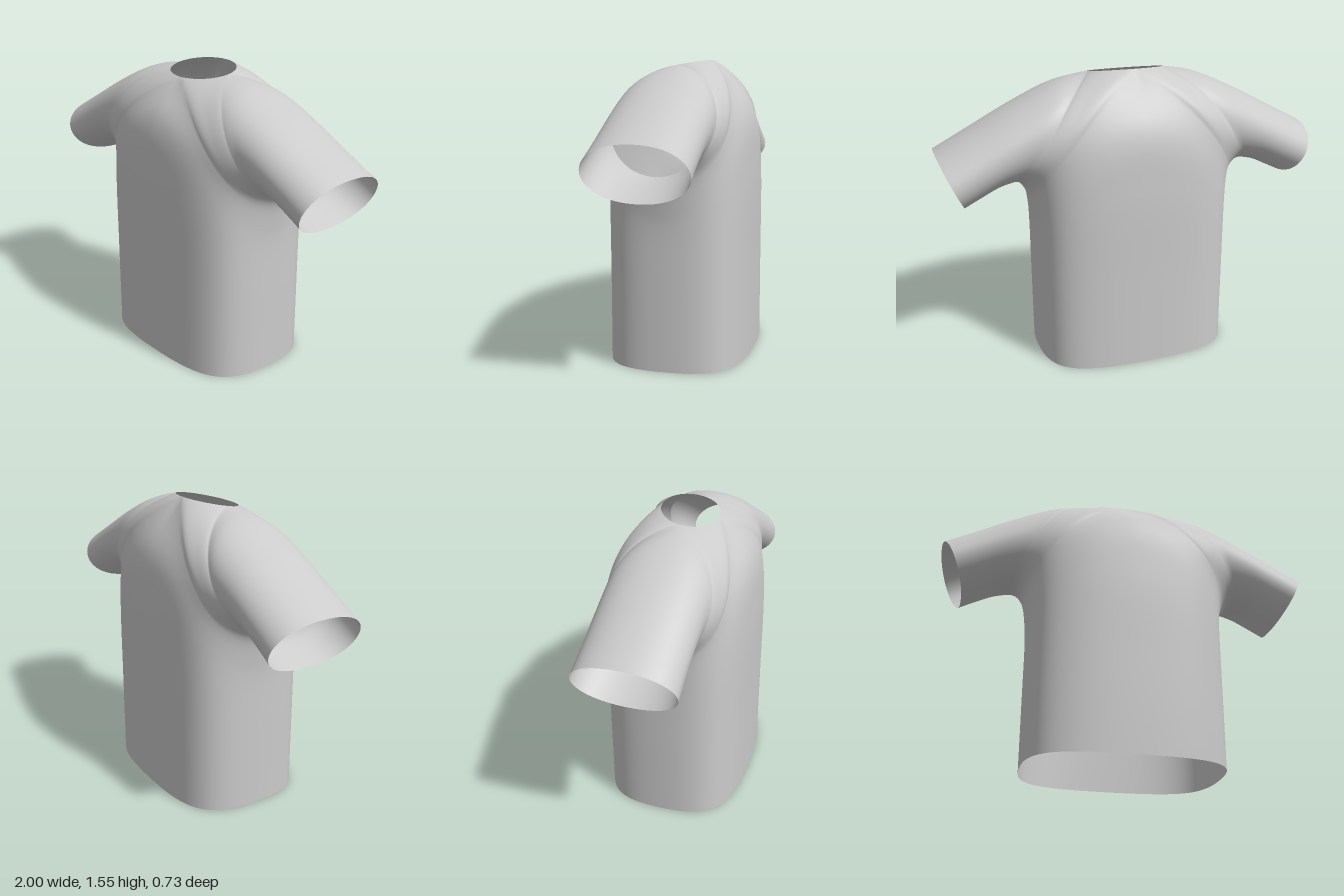
import * as THREE from 'three';
import { mergeVertices } from 'three/addons/utils/BufferGeometryUtils.js';

// Spline through the given points, evaluated by station number.
const rail = (pts, first = 0) => {
  const curve = new THREE.CatmullRomCurve3(pts.map(p => new THREE.Vector3(...p)), false, 'catmullrom', 0.5);
  return u => curve.getPoint((u - first) / (pts.length - 1));
};

// Side seam: hem, up to the armpit, out under the sleeve to the cuff.
const seam = rail([
  [0.52, 0, 0], [0.52, 0.4, 0], [0.52, 0.68, 0], [0.527, 0.8, 0], [0.545, 0.91, 0], [0.575, 0.965, 0],
  [0.61, 0.988, 0], [0.645, 0.992, 0], [0.72, 0.975, 0], [0.8, 0.937, 0], [0.875, 0.9, 0],
]);
// Two rails that give the cloth its fullness between the seam and the upper edge.
const lowerFullness = rail([
  [0.52, 0, 0.296], [0.52, 0.42, 0.296], [0.52, 0.71, 0.296], [0.53, 0.86, 0.31], [0.545, 0.97, 0.345], [0.572, 1.02, 0.36],
  [0.608, 1.02, 0.36], [0.645, 1.0, 0.345], [0.72, 0.975, 0.336], [0.8, 0.937, 0.335], [0.875, 0.9, 0.34],
]);
const upperFullness = rail([
  [0.42, 0, 0.365], [0.42, 0.5, 0.365], [0.42, 0.93, 0.365], [0.39, 1.19, 0.36], [0.33, 1.33, 0.385], [0.365, 1.38, 0.355],
  [0.4, 1.46, 0.335], [0.43, 1.465, 0.338], [0.6, 1.385, 0.336], [0.81, 1.275, 0.335], [1, 1.175, 0.34],
]);
// Upper edge: centre line (stations 0-4), neck opening (4-6), shoulder ridge (6-10).
const centreLine = rail([[0, 0, 0.365], [0, 0.5, 0.365], [0, 1, 0.365], [0, 1.3, 0.325], [0, 1.4925, 0.16]]);
const backLine = rail([[0, 0, 0.365], [0, 0.5, 0.365], [0, 1, 0.363], [0, 1.3, 0.322], [0, 1.5475, 0.13]]);
const ridge = rail([[0.198, 1.52, 0.015], [0.38, 1.482, 0], [0.6, 1.385, 0], [0.81, 1.275, 0], [1, 1.175, 0]], 6);

function upperEdge(u, side) {
  if (u < 4) {
    const p = (side > 0 ? centreLine : backLine)(u);
    p.z *= side;
    return p;
  }
  if (u >= 6) return ridge(u);
  const a = (u - 4) * Math.PI / 4;
  const dz = side * 0.145 * Math.cos(a);
  return new THREE.Vector3(0.198 * Math.sin(a), 1.52 - 0.19 * dz, 0.015 + dz);
}

// One strand of cloth from the seam to the upper edge.
function strand(u, side) {
  const lower = lowerFullness(u), upper = upperFullness(u);
  lower.z *= side;
  upper.z *= side;
  // The back sits a little higher around the neck.
  if (side < 0) upper.y += 0.035 * Math.max(0, 1 - Math.abs(u - 4.3) / 1.7);
  return new THREE.CubicBezierCurve3(seam(u), lower, upper, upperEdge(u, side));
}

function shirtGeometry() {
  const rows = 100, cols = 40, pos = [], index = [];
  for (const side of [1, -1]) for (const mirror of [1, -1]) {
    const start = pos.length / 3;
    for (let i = 0; i <= rows; i++) {
      const curve = strand(i * 10 / rows, side);
      for (let j = 0; j <= cols; j++) {
        const p = curve.getPoint(j / cols);
        pos.push(p.x * mirror, p.y, p.z);
      }
    }
    for (let i = 0; i < rows; i++) for (let j = 0; j < cols; j++) {
      const a = start + i * (cols + 1) + j, b = a + cols + 1;
      if (side * mirror > 0) index.push(a, b, a + 1, b, b + 1, a + 1);
      else index.push(a, a + 1, b, b, a + 1, b + 1);
    }
  }
  const geo = new THREE.BufferGeometry();
  geo.setAttribute('position', new THREE.Float32BufferAttribute(pos, 3));
  geo.setIndex(index);
  // Weld the four quarters so the shading runs smoothly across the seams.
  const welded = mergeVertices(geo, 1e-5);
  welded.computeVertexNormals();
  return welded;
}

export function createModel() {
  const group = new THREE.Group();
  group.name = 'shirt';
  const cloth = new THREE.MeshStandardMaterial({ color: 0xcccccc, side: THREE.DoubleSide });
  const shirt = new THREE.Mesh(shirtGeometry(), cloth);
  shirt.name = 'shirtBodyAndSleeves';
  group.add(shirt);
  return group;
}
